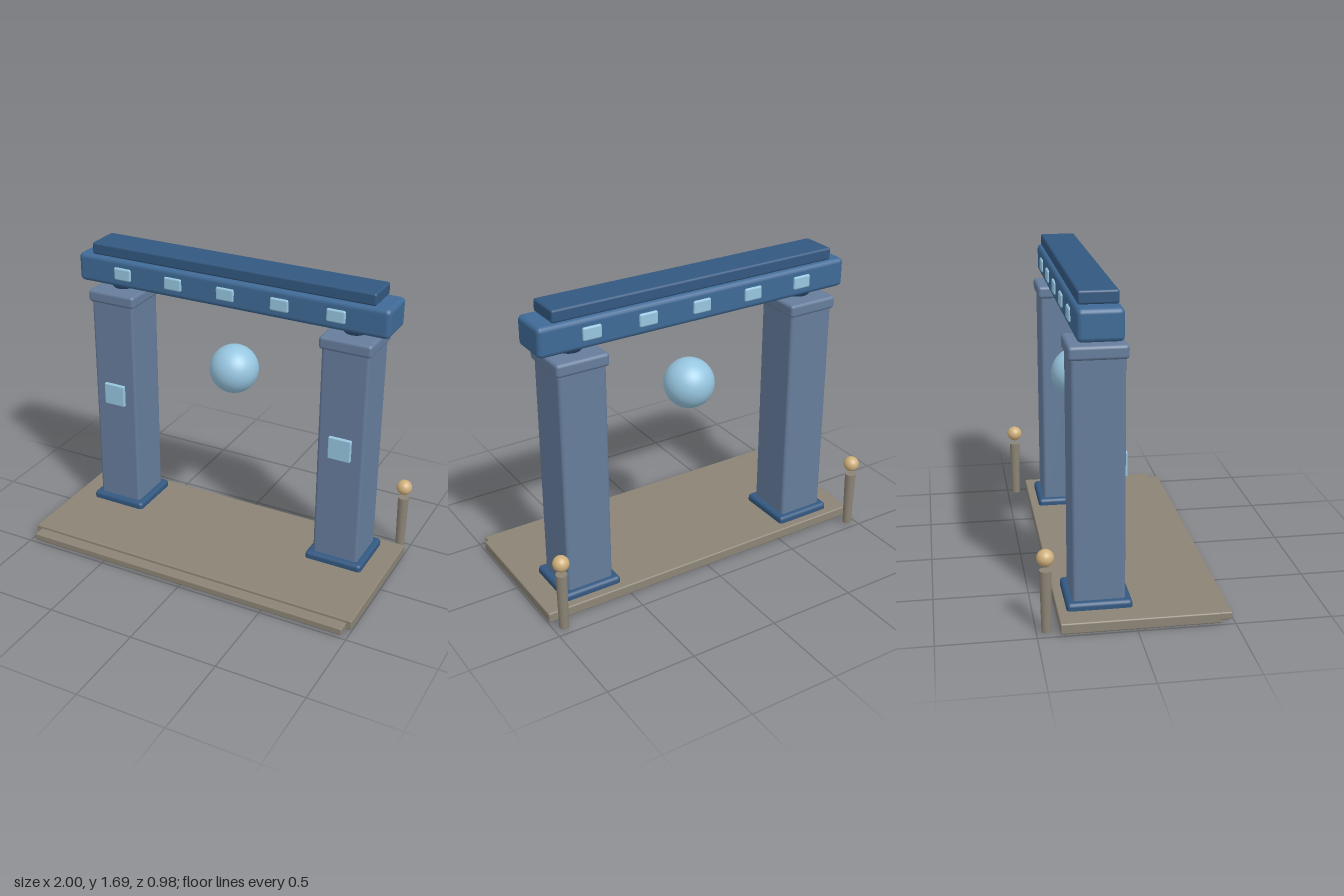
import * as THREE from 'three';
import { RoundedBoxGeometry } from 'three/addons/geometries/RoundedBoxGeometry.js';

const mat = (color) => new THREE.MeshStandardMaterial({ color });
const STONE = mat(0x8c8476);
const COLUMN = mat(0x667d9c);
const BEAM = mat(0x3f6a96);
const DARK = mat(0x335880);
const GLOW = mat(0x97c6e0);
const GOLD = mat(0xcfb07c);

const GATE_Z = -0.17; // depth of the gate's centre line

export function createModel() {
  const root = new THREE.Group();
  root.name = 'gate';

  const add = (name, geometry, material, x, y, z) => {
    const mesh = new THREE.Mesh(geometry, material);
    mesh.name = name;
    mesh.position.set(x, y, z);
    root.add(mesh);
    return mesh;
  };
  // Rounded block given by its size, bottom height and centre
  const block = (name, material, [w, h, d], x, bottom, z, radius) =>
    add(name, new RoundedBoxGeometry(w, h, d, 2, radius), material, x, bottom + h / 2, z);

  // Platform and front step
  block('platform', STONE, [2, 0.058, 0.81], 0, 0.008, 0.02, 0.008);
  block('frontStep', STONE, [1.94, 0.042, 0.14], 0, 0.008, 0.42, 0.008);

  for (const [side, s] of [['left', 1], ['right', -1]]) {
    const x = 0.706 * s;
    // Column with plinth, capital and tapered neck
    block(side + 'Plinth', DARK, [0.335, 0.105, 0.335], x, 0, GATE_Z, 0.02);
    block(side + 'Column', COLUMN, [0.268, 1.3, 0.27], x, 0.08, GATE_Z, 0.018);
    block(side + 'Capital', COLUMN, [0.294, 0.072, 0.298], x, 1.353, GATE_Z, 0.018);
    add(side + 'Neck', new THREE.CylinderGeometry(0.1, 0.05, 0.06, 24), DARK, x, 1.445, GATE_Z);
    block(side + 'ColumnPanel', GLOW, [0.13, 0.13, 0.04], x, 0.73, -0.036, 0.006);

    // Lamp post behind the platform with a floating ball
    const px = 0.948 * s;
    add(side + 'LampPost', new THREE.CylinderGeometry(0.031, 0.025, 0.33, 20), STONE, px, 0.174, -0.45);
    add(side + 'LampBall', new THREE.SphereGeometry(0.044, 24, 16), GOLD, px, 0.404, -0.45);
  }

  // Lintel and its upper rail
  block('lintel', BEAM, [1.855, 0.162, 0.23], 0, 1.458, GATE_Z, 0.026);
  block('topRail', DARK, [1.685, 0.068, 0.2], 0, 1.622, GATE_Z, 0.012);

  // Glowing insets on both faces of the lintel
  for (let i = -2; i <= 2; i++) {
    for (const [face, s] of [['front', 1], ['back', -1]]) {
      block(face + 'Inset', GLOW, [0.106, 0.072, 0.04], i * 0.319, 1.504, GATE_Z + s * 0.106, 0.01);
    }
  }

  // Floating orb in the opening
  add('orb', new THREE.SphereGeometry(0.138, 40, 28), GLOW, 0, 1.06, GATE_Z);

  return root;
}
